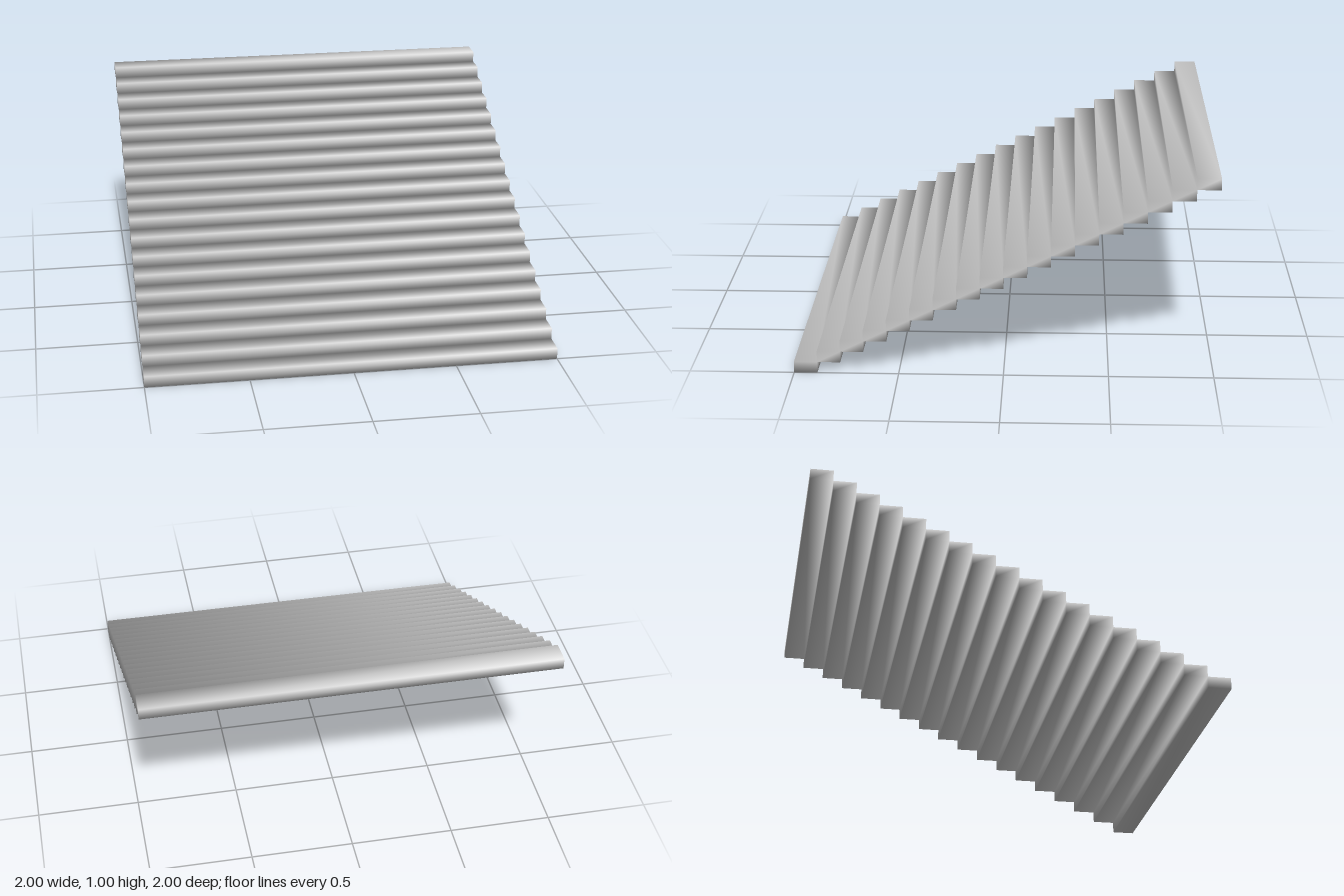
import * as THREE from 'three';
import { mergeGeometries, mergeVertices } from 'three/addons/utils/BufferGeometryUtils.js';

const STEPS = 18, WIDTH = 2, RUN = 2, RISE = 1;

export function createModel() {
  const group = new THREE.Group();
  group.name = 'staircase';
  const depth = RUN / STEPS, height = RISE / STEPS;

  // Slab treads climbing towards the back, each meeting the next along one edge
  const treads = [];
  for (let i = 0; i < STEPS; i++) {
    const tread = new THREE.BoxGeometry(WIDTH, height, depth);
    tread.translate(0, (i + 0.5) * height, RUN / 2 - (i + 0.5) * depth);
    tread.deleteAttribute('normal');
    tread.deleteAttribute('uv');
    treads.push(tread);
  }

  // Welded corners give soft shading that runs across the whole flight
  const flight = mergeVertices(mergeGeometries(treads), 1e-4);
  flight.computeVertexNormals();

  const mesh = new THREE.Mesh(flight, new THREE.MeshStandardMaterial({ color: 0xcccccc }));
  mesh.name = 'steps';
  group.add(mesh);
  return group;
}
